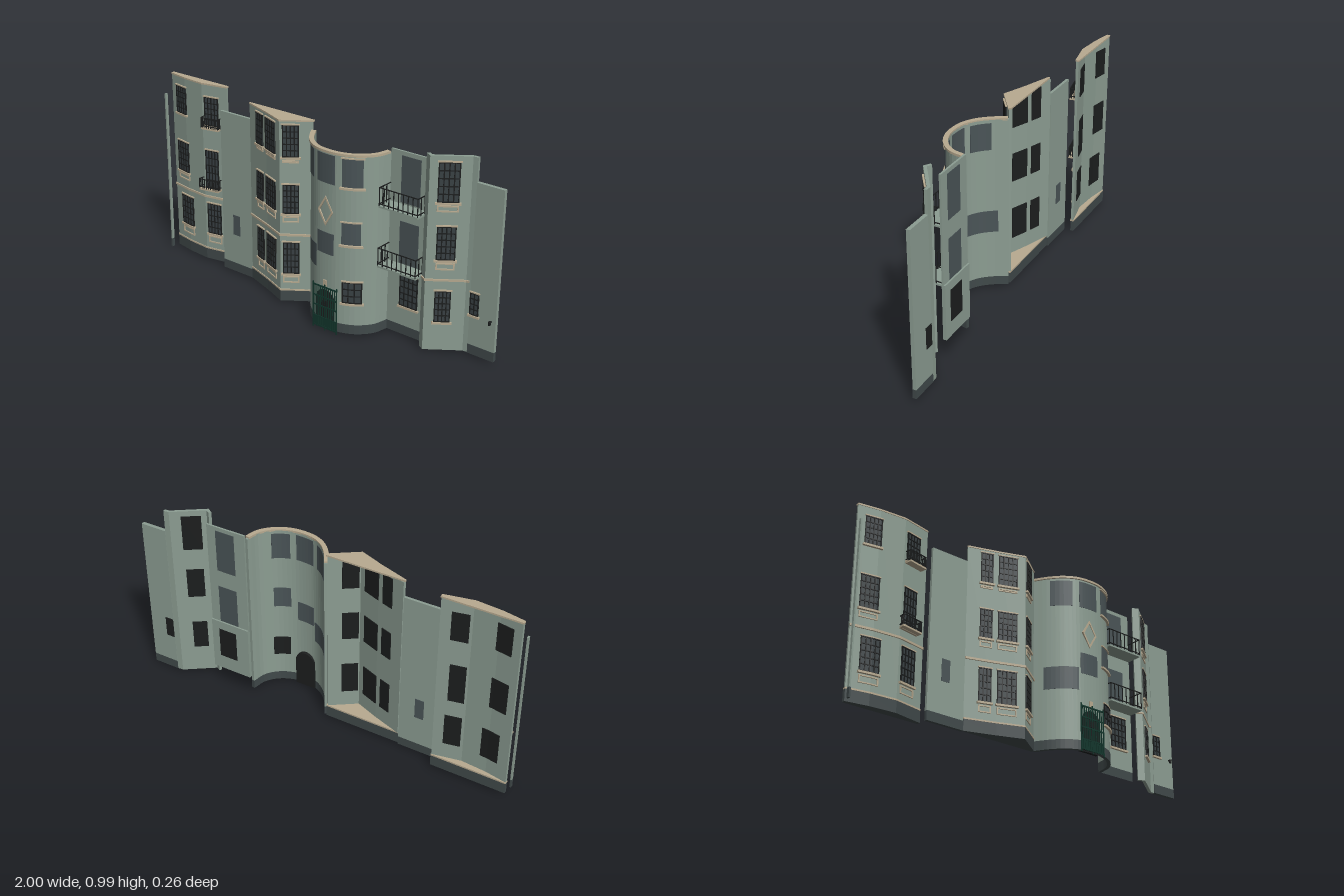
import * as THREE from 'three';

const mat = (name, color) => Object.assign(new THREE.MeshStandardMaterial({ color }), { name });

export function createModel() {
  const root = new THREE.Group();
  root.name = 'curvedFacade';
  const wall = mat('wallGreen', 0x8c9d92), plinth = mat('plinthGrey', 0x40494a), beige = mat('trimBeige', 0xb8aa90),
    glass = mat('glassGrey', 0x4a5457), barred = mat('barredGlass', 0x394144), black = mat('ironBlack', 0x1c1e1e),
    gateGreen = mat('gateGreen', 0x12362c);

  const add = (parent, name, geo, m) => {
    const mesh = new THREE.Mesh(geo, m);
    mesh.name = name;
    parent.add(mesh);
    return mesh;
  };
  const section = (name) => {
    const g = new THREE.Group();
    g.name = name;
    root.add(g);
    return g;
  };

  // Upright prism over a plan polygon of [x, z] points
  const prism = (pts, y0, y1) => {
    const shape = new THREE.Shape(pts.map(([x, z]) => new THREE.Vector2(x, -z)));
    return new THREE.ExtrudeGeometry(shape, { depth: y1 - y0, bevelEnabled: false }).rotateX(-Math.PI / 2).translate(0, y0, 0);
  };

  // Portion of a plan path between two x positions
  const clip = (path, x0, x1) => {
    const at = (x) => {
      let i = 0;
      while (i < path.length - 2 && path[i + 1][0] < x) i++;
      const [a, b] = [path[i], path[i + 1]];
      return [x, a[1] + (b[1] - a[1]) * (x - a[0]) / (b[0] - a[0])];
    };
    return [at(x0), ...path.filter((p) => p[0] > x0 + 1e-4 && p[0] < x1 - 1e-4), at(x1)];
  };

  // Path moved outwards by a distance, mitred at the corners
  const offset = (pts, d) => pts.map((p, i) => {
    const normal = (a, b) => new THREE.Vector2(a[1] - b[1], b[0] - a[0]).normalize();
    const n0 = i > 0 ? normal(pts[i - 1], p) : normal(p, pts[1]);
    const n1 = i < pts.length - 1 ? normal(p, pts[i + 1]) : n0;
    const m = n0.clone().add(n1).normalize();
    const k = d / Math.max(0.5, m.dot(n0));
    return [p[0] + m.x * k, p[1] + m.y * k];
  });

  // Strip that follows a wall: x range, y range, inner and outer distance from its face
  const band = (path, x0, x1, y0, y1, o0, o1) => {
    const pts = clip(path, x0, x1);
    return prism([...offset(pts, o1), ...offset(pts, o0).reverse()], y0, y1);
  };

  // Window with optional glazing bars, sill, lintel and framed panel below
  const windowAt = (parent, path, cx, w, y0, y1, { cols = 0, rows = 5, sill = true, panel = 0, thick = 0.015 } = {}) => {
    const g = new THREE.Group();
    g.name = 'window';
    parent.add(g);
    const x0 = cx - w / 2, x1 = cx + w / 2, t = 0.0045;
    add(g, 'pane', band(path, x0, x1, y0, y1, -thick - 0.002, 0.0015), cols ? black : glass);
    if (cols) {
      add(g, 'glass', band(path, x0, x1, y0, y1, 0.0015, 0.003), barred);
      for (let i = 0; i <= cols; i++) {
        const x = x0 + (w - t) * i / cols;
        add(g, 'uprightBar', band(path, x, x + t, y0, y1, 0.003, 0.007), black);
      }
      for (let j = 0; j <= rows; j++) {
        const y = y0 + (y1 - y0 - t) * j / rows;
        add(g, 'crossBar', band(path, x0, x1, y, y + t, 0.003, 0.007), black);
      }
    }
    if (sill) {
      add(g, 'sill', band(path, x0 - 0.007, x1 + 0.007, y0 - 0.01, y0, 0, 0.012), beige);
      add(g, 'lintel', band(path, x0 - 0.004, x1 + 0.004, y1, y1 + 0.006, 0, 0.008), beige);
    }
    if (panel) {
      const top = y0 - 0.016, low = top - panel, s = 0.006;
      for (const y of [low, top - s]) add(g, 'panelRail', band(path, x0, x1, y, y + s, 0, 0.005), beige);
      for (const x of [x0, x1 - s]) add(g, 'panelSide', band(path, x, x + s, low, top, 0, 0.005), beige);
    }
  };

  // Balcony: slab plus iron railing around three sides
  const balcony = (parent, path, x0, x1, y0, y1, depth, bars, slabMat) => {
    const g = new THREE.Group();
    g.name = 'balcony';
    parent.add(g);
    const t = 0.004;
    add(g, 'slab', band(path, x0, x1, y0 - 0.009, y0, 0, depth), slabMat);
    for (const y of [y0 + 0.008, y1 - t]) {
      add(g, 'frontRail', band(path, x0, x1, y, y + t, depth - t, depth), black);
      for (const x of [x0, x1 - t]) add(g, 'sideRail', band(path, x, x + t, y, y + t, 0, depth), black);
    }
    for (let i = 0; i <= bars; i++) {
      const x = x0 + (x1 - x0 - t) * i / bars;
      add(g, 'baluster', band(path, x, x + t * 0.8, y0, y1, depth - t, depth), black);
    }
    for (const x of [x0, x1 - t])
      for (const d of [0.33, 0.66]) add(g, 'sideBaluster', band(path, x, x + t, y0, y1, depth * d, depth * d + t), black);
  };

  // Wall with an optional plinth face
  const wallOf = (parent, path, y0, y1, thick, base) => {
    const x0 = path[0][0], x1 = path[path.length - 1][0];
    add(parent, 'wall', band(path, x0, x1, base || y0, y1, -thick, 0), wall);
    if (base) add(parent, 'plinth', band(path, x0, x1, y0, base, -thick, 0.002), plinth);
  };
  // Solid base, ledge and roof slab of a bay closed by a straight back line
  const bayCaps = (parent, path, back, top) => {
    const x0 = path[0][0], x1 = path[path.length - 1][0];
    const solid = (o, y0, y1) => prism([...offset(path, o), [x1, back], [x0, back]], y0, y1);
    add(parent, 'plinth', solid(0.002, 0.013, 0.07), plinth);
    add(parent, 'baseLedge', solid(0.004, 0.07, 0.078), beige);
    add(parent, 'roofSlab', solid(0.003, top - 0.008, top), beige);
    add(parent, 'stringCourse', band(path, x0, x1, 0.366, 0.377, 0, 0.006), beige);
  };

  // Shallow bowed bay at the far right of the facade
  const bow = section('bowedBay');
  const pA = [[-0.99, -0.1], [-0.88, -0.08], [-0.75, -0.07], [-0.605, -0.1]];
  wallOf(bow, pA, 0.078, 0.977, 0.013);
  bayCaps(bow, pA, -0.115, 0.985);
  const four = { cols: 4, rows: 5 };
  windowAt(bow, pA, -0.91, 0.08, 0.785, 0.93, four);
  windowAt(bow, pA, -0.91, 0.088, 0.465, 0.63, { ...four, panel: 0.03 });
  windowAt(bow, pA, -0.89, 0.092, 0.165, 0.33, { ...four, panel: 0.038 });
  windowAt(bow, pA, -0.695, 0.08, 0.765, 0.915, four);
  windowAt(bow, pA, -0.7, 0.075, 0.425, 0.63, four);
  windowAt(bow, pA, -0.695, 0.08, 0.165, 0.335, { ...four, panel: 0.038 });
  balcony(bow, pA, -0.74, -0.64, 0.76, 0.815, 0.035, 9, beige);
  balcony(bow, pA, -0.755, -0.65, 0.425, 0.478, 0.035, 9, beige);

  // Free edge strip beside the bowed bay
  const edge = section('edgeStrip');
  wallOf(edge, [[-1, -0.05], [-0.992, -0.05]], 0.013, 0.88, 0.015, 0.06);

  // Plain recessed wall
  const link = section('recessedWall');
  const pB = [[-0.605, -0.05], [-0.405, -0.05]];
  wallOf(link, pB, 0.013, 0.875, 0.014, 0.06);
  windowAt(link, pB, -0.51, 0.046, 0.22, 0.33, { sill: false });

  // Pointed bay
  const point = section('pointedBay');
  const pC = [[-0.405, -0.05], [-0.255, 0.0], [-0.13, 0.048], [0, -0.045]];
  wallOf(point, pC, 0.078, 0.952, 0.013);
  bayCaps(point, pC, -0.056, 0.96);
  for (const [cx, w, cols] of [[-0.312, 0.058, 3], [-0.212, 0.088, 4], [-0.087, 0.065, 4]]) {
    windowAt(point, pC, cx, w, 0.775, 0.935, { cols, panel: 0.014 });
    windowAt(point, pC, cx, w, 0.485, 0.635, { cols, panel: 0.03 });
    windowAt(point, pC, cx, w, 0.165, 0.333, { cols, panel: 0.035 });
  }

  // Round entrance bay
  const round = section('roundBay');
  const plan = [[0, -0.045], [0.04, 0.02], [0.09, 0.075], [0.15, 0.11], [0.21, 0.121], [0.28, 0.118], [0.36, 0.085], [0.42, 0.02], [0.44, -0.06]];
  const pD = new THREE.CatmullRomCurve3(plan.map(([x, z]) => new THREE.Vector3(x, 0, z)))
    .getPoints(28).map((p) => [p.x, p.z]);
  wallOf(round, pD, 0.013, 0.908, 0.015, 0.06);
  add(round, 'cornice', band(pD, 0.002, 0.438, 0.904, 0.915, -0.015, 0.008), beige);
  for (const [cx, w, y0, y1] of [[0.085, 0.082, 0.755, 0.892], [0.21, 0.105, 0.755, 0.895], [0.34, 0.085, 0.755, 0.892],
    [0.21, 0.1, 0.402, 0.51], [0.338, 0.08, 0.472, 0.582], [0.088, 0.125, 0.315, 0.43]])
    windowAt(round, pD, cx, w, y0, y1, { sill: cx > 0.3 });
  windowAt(round, pD, 0.345, 0.08, 0.175, 0.283, { cols: 3, rows: 3 });

  // Diamond ornament
  const diamond = (rx, ry) => [[0, -ry], [rx, 0], [0, ry], [-rx, 0]].map(([x, y]) => new THREE.Vector2(x, y));
  const ring = new THREE.Shape(diamond(0.044, 0.074));
  ring.holes.push(new THREE.Path(diamond(0.034, 0.058).reverse()));
  add(round, 'diamondOrnament', new THREE.ExtrudeGeometry(ring, { depth: 0.014, bevelEnabled: false }), beige).position.set(0.212, 0.618, 0.111);

  // Arched doorway and iron gate
  const arch = new THREE.Shape();
  arch.moveTo(-0.055, 0.013).lineTo(0.055, 0.013).lineTo(0.055, 0.16).absarc(0, 0.16, 0.055, 0, Math.PI).lineTo(-0.055, 0.013);
  add(round, 'archedDoorway', new THREE.ExtrudeGeometry(arch, { depth: 0.033, bevelEnabled: false }), black).position.set(0.213, 0, 0.09);
  add(round, 'keystone', new THREE.BoxGeometry(0.02, 0.03, 0.012), beige).position.set(0.213, 0.25, 0.12);
  const gate = section('gate');
  const pG = [[0.142, 0.126], [0.288, 0.126]];
  for (let i = 0; i <= 12; i++) {
    const x = 0.142 + i * 0.0117, post = i % 6 === 0;
    add(gate, 'gateBar', band(pG, x, x + (post ? 0.0055 : 0.0035), post ? 0 : 0.01, post ? 0.242 : 0.225, 0, 0.004), gateGreen);
  }
  for (const y of [0.012, 0.06, 0.12, 0.17, 0.225]) add(gate, 'gateRail', band(pG, 0.142, 0.288, y, y + 0.007, 0, 0.004), gateGreen);
  add(gate, 'gatePanel', band(pG, 0.145, 0.285, 0.019, 0.06, 0, 0.002), gateGreen);
  add(gate, 'lockPlate', band(pG, 0.2, 0.23, 0.13, 0.16, 0, 0.004), black);

  // Balcony wall with tall glazing
  const loggia = section('balconyWall');
  const pE = [[0.44, -0.06], [0.655, -0.06]];
  wallOf(loggia, pE, 0.37, 0.925, 0.01);
  add(loggia, 'groundWall', band(pE, 0.44, 0.655, 0.085, 0.375, -0.018, 0), wall);
  for (const [name, y0, y1, m] of [['plinthFace', 0.013, 0.06, plinth], ['baseFace', 0.06, 0.085, wall]])
    add(loggia, name, new THREE.PlaneGeometry(0.215, y1 - y0), m).position.set(0.5475, (y0 + y1) / 2, -0.06);
  windowAt(loggia, pE, 0.552, 0.105, 0.68, 0.905, { sill: false, thick: 0.01 });
  windowAt(loggia, pE, 0.552, 0.105, 0.378, 0.588, { sill: false, thick: 0.01 });
  windowAt(loggia, pE, 0.562, 0.1, 0.165, 0.33, { cols: 4, thick: 0.018 });
  balcony(loggia, pE, 0.44, 0.653, 0.673, 0.763, 0.086, 8, wall);
  balcony(loggia, pE, 0.44, 0.653, 0.375, 0.465, 0.086, 8, wall);

  // Angled bay
  const angled = section('angledBay');
  const pF = [[0.655, -0.022], [0.685, -0.004], [0.835, -0.112], [0.86, -0.114]];
  wallOf(angled, pF, 0.013, 0.966, 0.015);
  add(angled, 'stringCourse', band(pF, 0.655, 0.85, 0.366, 0.376, 0, 0.005), beige);
  windowAt(angled, pF, 0.755, 0.078, 0.75, 0.938, { ...four, panel: 0.03 });
  windowAt(angled, pF, 0.755, 0.07, 0.472, 0.635, { ...four, panel: 0.034 });
  windowAt(angled, pF, 0.752, 0.06, 0.16, 0.317, four);

  // Low end wall with a small lamp
  const end = section('endWall');
  const pH = [[0.86, -0.112], [1, -0.112]];
  wallOf(end, pH, 0.013, 0.852, 0.018, 0.06);
  windowAt(end, pH, 0.885, 0.046, 0.215, 0.325, { cols: 2, rows: 4, thick: 0.018 });
  add(end, 'lampBracket', new THREE.BoxGeometry(0.008, 0.006, 0.014), black).position.set(0.975, 0.213, -0.106);
  add(end, 'lamp', new THREE.CylinderGeometry(0.008, 0.006, 0.018, 8), black).position.set(0.975, 0.207, -0.1);

  return root;
}
